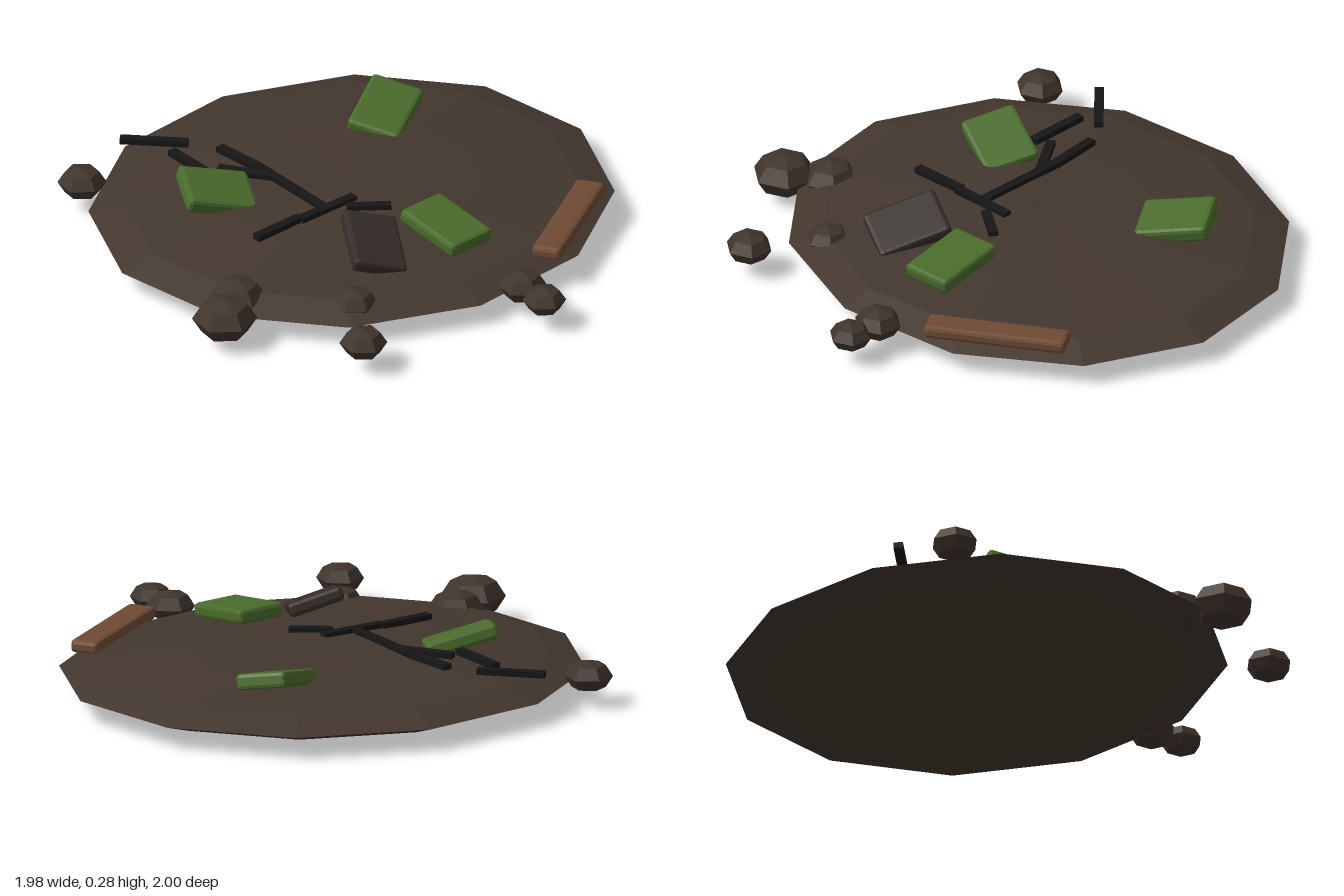
import * as THREE from 'three';
import { RoundedBoxGeometry } from 'three/addons/geometries/RoundedBoxGeometry.js';

const mat = (color) => new THREE.MeshStandardMaterial({ color, flatShading: true });
const soil = mat(0x43372e);
const stone = mat(0x40342b);
const moss = mat(0x4a6b2b);
const darkStone = mat(0x352c28);
const wood = mat(0x6e4a34);
const charcoal = mat(0x161616);

export function createModel() {
  const model = new THREE.Group();

  const add = (name, geometry, material, x, y, z) => {
    const mesh = new THREE.Mesh(geometry, material);
    mesh.name = name;
    mesh.position.set(x, y, z);
    model.add(mesh);
    return mesh;
  };

  // Chamfered block: yaw turns it on the ground, pitch and roll tilt it
  const slab = (name, material, [w, h, d], [x, y, z], [pitch, yaw, roll]) => {
    const geometry = new RoundedBoxGeometry(w, h, d, 1, 0.015);
    add(name, geometry, material, x, y, z).rotation.set(pitch, yaw, roll, 'YXZ');
  };

  // Flattened twelve-sided mound of earth
  add('groundMound', new THREE.SphereGeometry(1, 12, 6), soil, 0, 0.094, -0.1)
    .scale.set(0.99, 0.085, 0.895);

  // Six-sided pebbles around the rim: x, z, radius
  const pebbles = [
    [-0.787, -0.705, 0.09], [-0.74, 0.296, 0.104], [-0.867, 0.412, 0.12],
    [-0.4, 0.567, 0.083], [-0.53, 0.832, 0.088], [0.186, 0.785, 0.09],
    [0.197, 0.92, 0.08],
  ];
  pebbles.forEach(([x, z, r], i) => {
    const geometry = new THREE.SphereGeometry(r, 6, 4).rotateY(Math.PI / 6);
    add(`pebble${i + 1}`, geometry, stone, x, 0.12, z).scale.y = 0.66;
  });

  // Tilted slabs half sunk in the mound
  slab('mossySlabLeft', moss, [0.27, 0.06, 0.21], [-0.47, 0.19, -0.28], [0.2, -0.33, -0.26]);
  slab('mossySlabBack', moss, [0.28, 0.06, 0.2], [0.365, 0.19, -0.455], [0.18, 0.69, 0.22]);
  slab('mossySlabFront', moss, [0.2, 0.055, 0.29], [0.105, 0.2, 0.385], [0.13, 0.19, 0]);
  slab('darkSlab', darkStone, [0.21, 0.055, 0.28], [-0.19, 0.2, 0.36], [0.27, -0.39, -0.32]);

  // Fallen plank at the front edge
  slab('plank', wood, [0.53, 0.05, 0.11], [0.553, 0.148, 0.515], [0, 0.69, 0]);

  // Crack made of thin dark strips: x and z of both ends
  const strips = [
    [-0.56, -0.805, -0.36, -0.65], [-0.447, -0.63, -0.415, -0.39],
    [-0.284, -0.56, -0.234, -0.35], [-0.367, -0.435, -0.23, -0.28],
    [-0.234, -0.345, -0.19, 0.01], [-0.31, 0.04, -0.053, 0.005],
    [-0.516, 0.066, -0.303, 0.028], [-0.117, 0.054, 0.027, 0.13],
  ];
  strips.forEach(([x1, z1, x2, z2], i) => {
    const length = Math.hypot(x2 - x1, z2 - z1);
    const geometry = new THREE.BoxGeometry(length, 0.022, 0.035);
    add(`crackStrip${i + 1}`, geometry, charcoal, (x1 + x2) / 2, 0.18, (z1 + z2) / 2)
      .rotation.y = Math.atan2(z1 - z2, x2 - x1);
  });

  return model;
}
